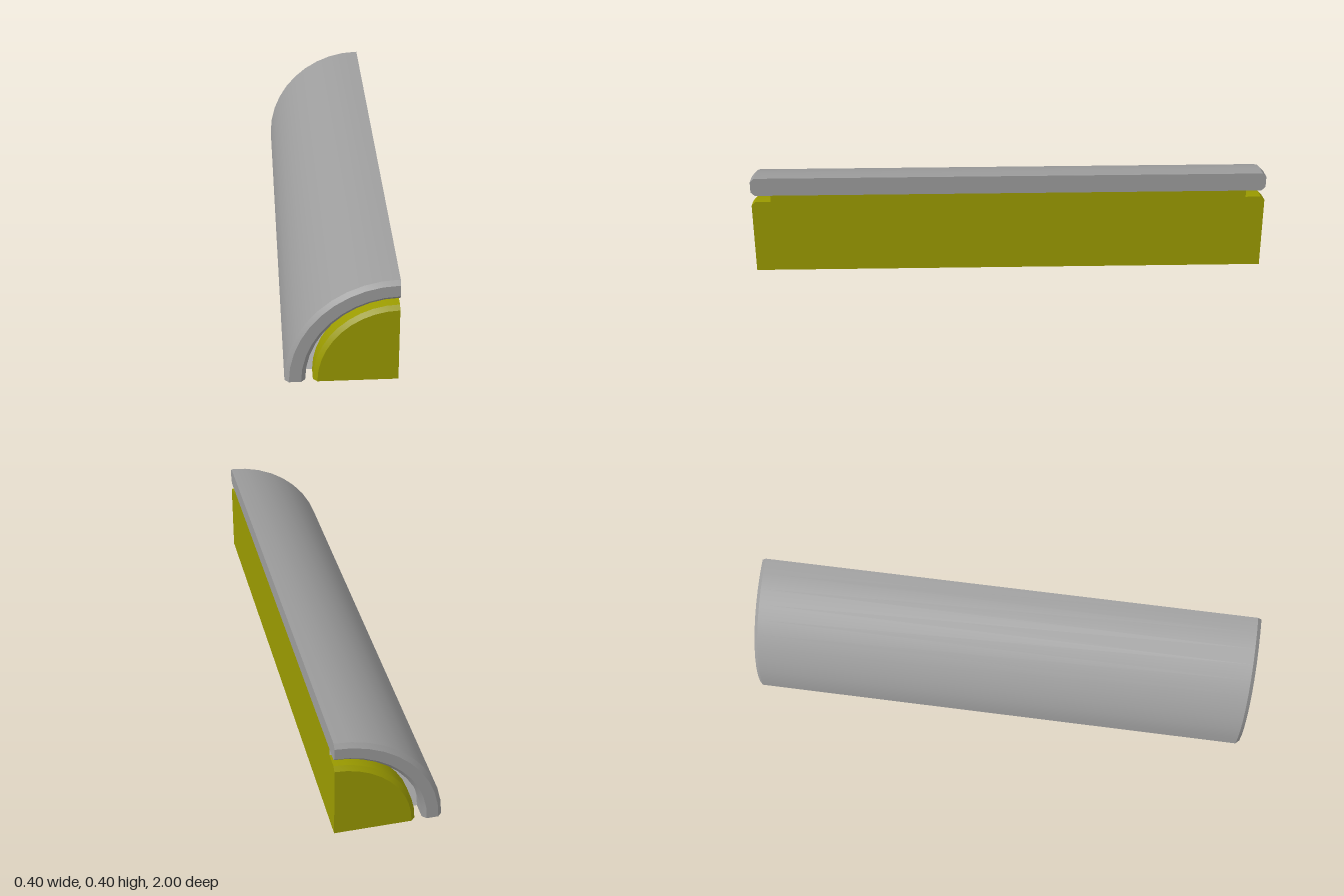
import * as THREE from 'three';
import { mergeGeometries, toCreasedNormals } from 'three/addons/utils/BufferGeometryUtils.js';

const HALF = 1;        // half length
const BEVEL = 0.015;   // chamfer at the ends
const GROOVE = 0.925;  // z where the end grooves stop
const CORE = 0.3, SEAT = 0.327, OUTER = 0.4; // radii about the corner axis
const SEGMENTS = 10, QUARTER = Math.PI / 2;

// half profile [radius, z] mirrored to the front end
const mirrored = (half) =>
  [...half, ...half.slice().reverse().map(([r, z]) => [r, -z])].map(([r, z]) => new THREE.Vector2(r, z));

function part(name, geometry, color) {
  const mesh = new THREE.Mesh(geometry, new THREE.MeshStandardMaterial({ color }));
  mesh.name = name;
  mesh.position.x = 0.2;
  return mesh;
}

// quarter turn of a profile about the z axis, closed by flat faces on the two cut planes
function quarterSolid(profile, section) {
  const curved = new THREE.LatheGeometry(mirrored(profile), SEGMENTS, Math.PI, QUARTER);
  curved.rotateX(Math.PI / 2);

  const axis = (x, y, z) => new THREE.Vector3(x, y, z);
  const cap = new THREE.ShapeGeometry(new THREE.Shape(mirrored(section)));
  const side = cap.clone().applyMatrix4(
    new THREE.Matrix4().makeBasis(axis(0, 1, 0), axis(0, 0, 1), axis(1, 0, 0)));
  const bottom = cap.clone().applyMatrix4(
    new THREE.Matrix4().makeBasis(axis(-1, 0, 0), axis(0, 0, -1), axis(0, -1, 0)));

  return toCreasedNormals(mergeGeometries([curved, side, bottom]), 0.5);
}

export function createModel() {
  const model = new THREE.Group();
  model.name = 'quarterRoundBar';

  // solid core with chamfered ends, stepped up to the shell between the grooves
  const coreEnd = [[0, -HALF], [CORE - BEVEL, -HALF], [CORE, -HALF + BEVEL], [CORE, -GROOVE]];
  model.add(part('core', quarterSolid(coreEnd, [...coreEnd, [SEAT, -GROOVE]]), 0x9b9b00));

  // curved shell with chamfered rims, overhanging the grooves
  const shellEnd = [
    [SEAT, -GROOVE], [SEAT, -HALF + BEVEL], [SEAT + BEVEL, -HALF],
    [OUTER - BEVEL, -HALF], [OUTER, -HALF + BEVEL],
  ];
  model.add(part('shell', quarterSolid(shellEnd, shellEnd), 0x9d9d9d));

  // paler walls at the bottom of the grooves
  const frontWall = new THREE.RingGeometry(CORE, SEAT, SEGMENTS, 1, QUARTER, QUARTER);
  const backWall = new THREE.RingGeometry(CORE, SEAT, SEGMENTS, 1, 0, QUARTER).rotateY(Math.PI);
  frontWall.translate(0, 0, GROOVE);
  backWall.translate(0, 0, -GROOVE);
  model.add(part('frontGrooveWall', frontWall, 0xcccccc), part('backGrooveWall', backWall, 0xcccccc));

  return model;
}
